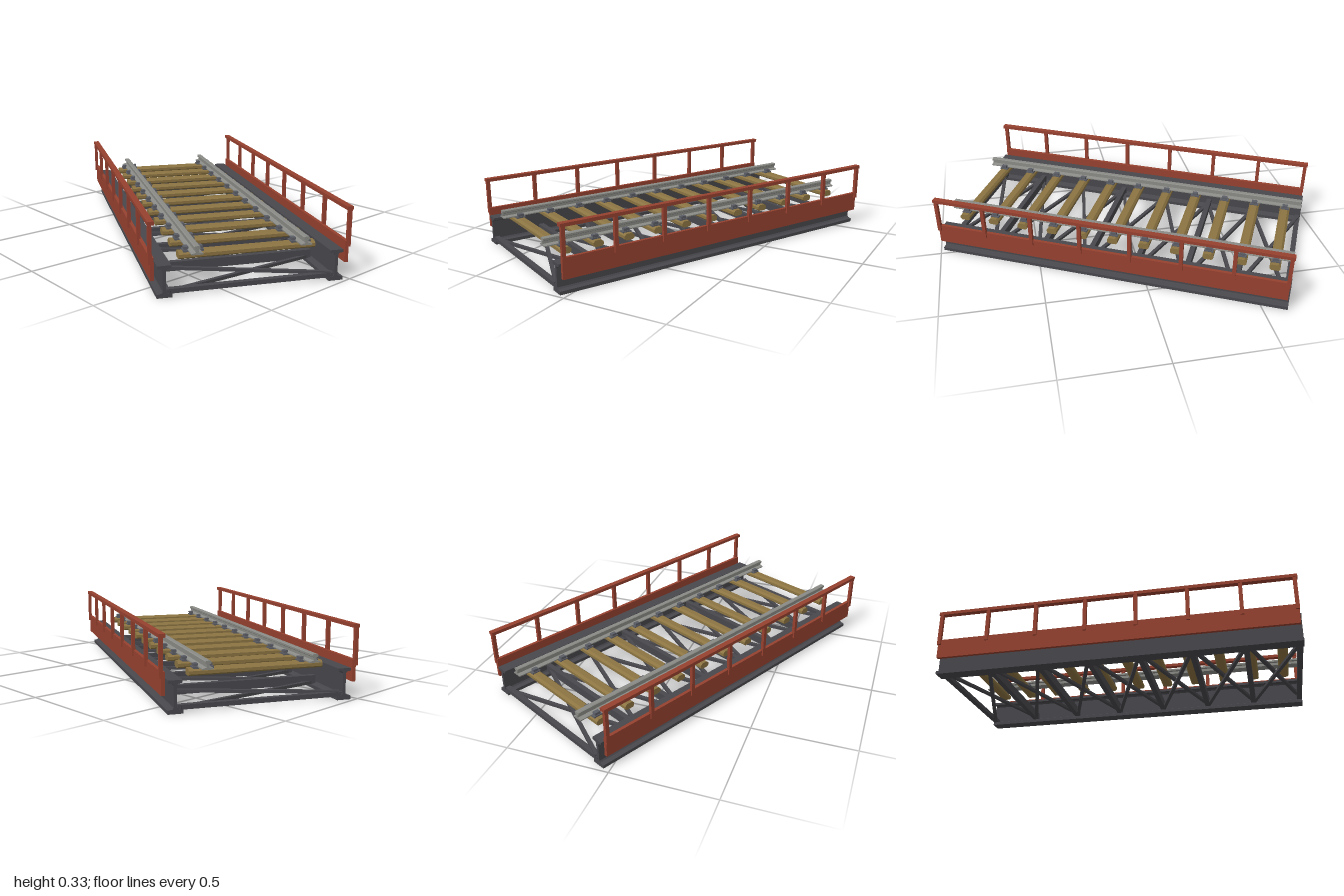
import * as THREE from 'three';

const material = (name, color) => {
  const m = new THREE.MeshStandardMaterial({ color });
  m.name = name;
  return m;
};

export function createModel() {
  const red = material('oxide red paint', 0x96412f);
  const iron = material('dark iron', 0x48474c);
  const wood = material('timber', 0x8c7442);
  const steel = material('rail steel', 0x8a8b86);
  const chairGrey = material('chair grey', 0x5c5e66);

  const model = new THREE.Group();
  model.name = 'railwayBridge';
  const bridge = new THREE.Group();
  bridge.name = 'bridgeSpan';
  bridge.rotation.y = -Math.atan(0.5); // the span stands askew
  model.add(bridge);

  const add = (name, geometry, mat, x = 0, y = 0, z = 0, turn = 0) => {
    const mesh = new THREE.Mesh(geometry, mat);
    mesh.name = name;
    mesh.position.set(x, y, z);
    mesh.rotation.y = turn;
    bridge.add(mesh);
    return mesh;
  };
  const box = (name, mat, w, h, d, x, y, z, turn) =>
    add(name, new THREE.BoxGeometry(w, h, d), mat, x, y, z, turn);

  // Symmetric section from its right half (bottom to top), extruded along z
  const section = (half, length) => {
    const points = half.concat(half.map(([x, y]) => [-x, y]).reverse());
    const shape = new THREE.Shape(points.map(([x, y]) => new THREE.Vector2(x, y)));
    const g = new THREE.ExtrudeGeometry(shape, { depth: length, bevelEnabled: false });
    return g.translate(0, 0, -length / 2);
  };

  const halfLength = 0.894;
  const panel = 0.253; // spacing of posts and cross beams
  const nodes = Array.from({ length: 8 }, (_, i) => (i - 3.5) * panel);

  const girder = section([
    [0.033, 0], [0.033, 0.016], [0.012, 0.02], [0.007, 0.027],
    [0.007, 0.118], [0.012, 0.125], [0.03, 0.128], [0.03, 0.14],
  ], halfLength * 2);
  const rail = section([
    [0.025, 0.172], [0.025, 0.177], [0.006, 0.182], [0.006, 0.194],
    [0.013, 0.198], [0.013, 0.207], [0.009, 0.21],
  ], 1.78);

  for (const s of [-1, 1]) {
    // Main girder, side plate and handrail
    add('girder', girder, iron, s * 0.38);
    box('sidePlate', red, 0.016, 0.098, 1.775, s * 0.429, 0.126, 0);
    box('handrail', red, 0.028, 0.016, halfLength * 2, s * 0.433, 0.322, 0);
    for (const z of nodes) {
      box('railingPost', red, 0.016, 0.17, 0.018, s * 0.437, 0.233, z * 0.995);
    }
    add('trackRail', rail, steel, s * 0.24);
  }

  // Cross beams under the deck, lower ones at both ends
  nodes.forEach((z, i) => {
    const end = i === 0 || i === 7;
    const h = end ? 0.02 : 0.042;
    box('crossBeam', iron, 0.74, h, 0.026, 0, 0.016 + h / 2, z * (end ? 0.993 : 1));
  });

  // Flat X bracing in every bay
  for (let i = 0; i < 7; i++) {
    const z = (nodes[i] + nodes[i + 1]) / 2;
    for (const s of [-1, 1]) {
      box('diagonalBrace', iron, Math.hypot(0.72, panel), 0.014, 0.018,
        0, s > 0 ? 0.024 : 0.036, z, s * Math.atan2(panel, 0.72));
    }
  }

  // Timber sleepers with chamfered edges, and the chairs that hold the rails
  const sleeper = section([
    [0.018, 0.137], [0.026, 0.144], [0.026, 0.158], [0.015, 0.168],
  ], 0.61).rotateY(Math.PI / 2);
  for (let i = 0; i < 11; i++) {
    const z = (i - 5) * 0.1615;
    add('sleeper', sleeper, wood, 0, 0, z);
    for (const s of [-1, 1]) {
      box('chairPlate', chairGrey, 0.09, 0.008, 0.044, s * 0.24, 0.17, z);
      for (const t of [-1, 1]) {
        box('chairLug', chairGrey, 0.02, 0.014, 0.028, s * 0.24 + t * 0.031, 0.18, z);
      }
    }
  }
  return model;
}
